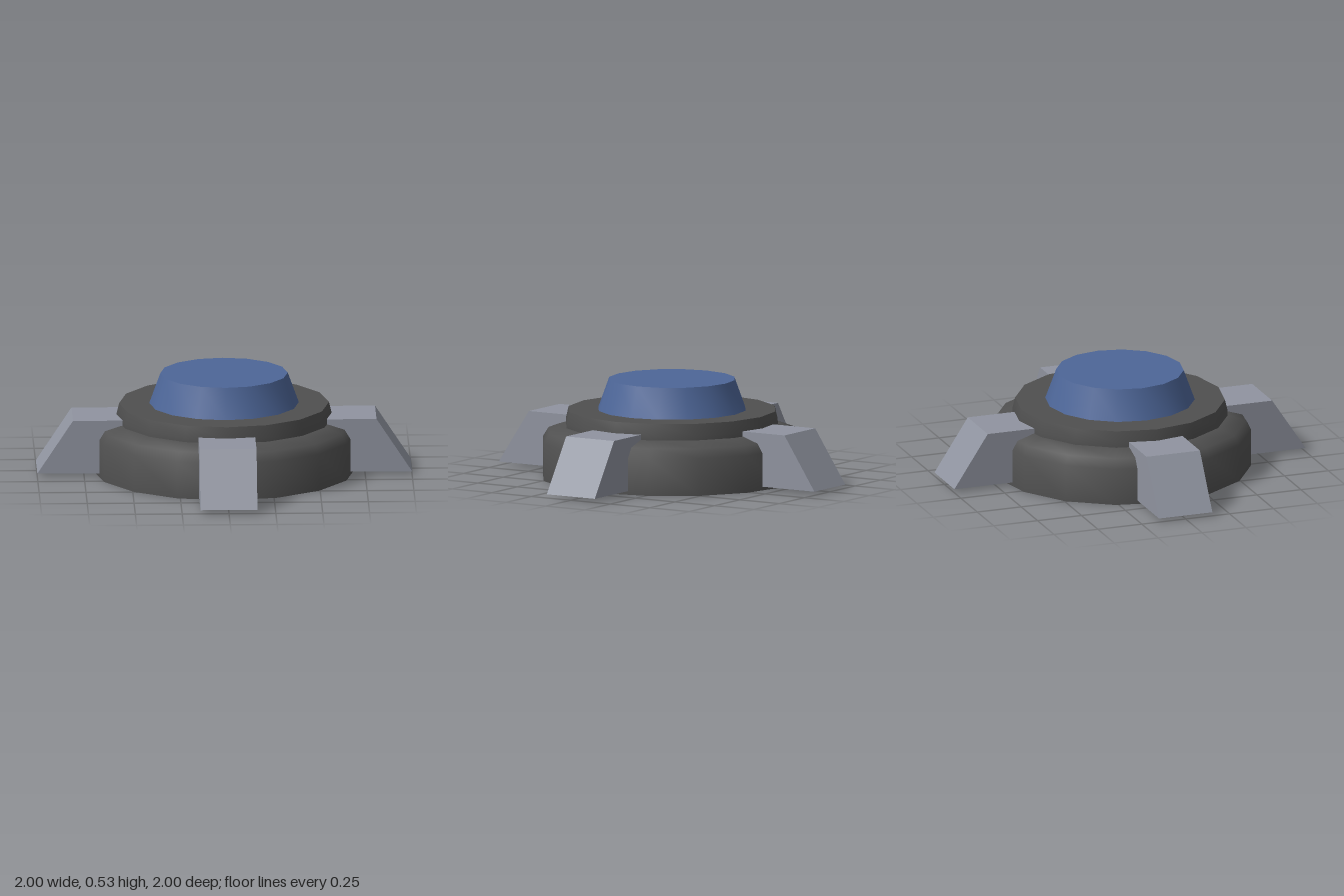
import * as THREE from 'three';
import { toCreasedNormals } from 'three/addons/utils/BufferGeometryUtils.js';

const SIDES = 16;

function material(name, color) {
  const m = new THREE.MeshStandardMaterial({ color });
  m.name = name;
  return m;
}

// Sixteen-sided turned part; profile runs from the bottom centre to the top centre
function turned(name, profile, mat, crease) {
  const points = profile.map(([r, y]) => new THREE.Vector2(r, y));
  const geometry = toCreasedNormals(new THREE.LatheGeometry(points, SIDES), crease);
  const mesh = new THREE.Mesh(geometry, mat);
  mesh.name = name;
  return mesh;
}

export function createModel() {
  const group = new THREE.Group();
  group.name = 'roundDevice';
  const darkGrey = material('dark grey', 0x505050);
  const blue = material('blue', 0x4d6698);
  const steel = material('steel grey', 0x9094a0);

  // Drum with a rounded shoulder
  group.add(turned('body', [
    [0, 0], [0.7, 0], [0.7, 0.2], [0.67, 0.25], [0.58, 0.28], [0, 0.28],
  ], darkGrey, 0.75));

  // Collar tapering slightly towards the top
  group.add(turned('collar', [
    [0, 0.275], [0.575, 0.275], [0.575, 0.305], [0.56, 0.367], [0, 0.367],
  ], darkGrey, 0.5));

  // Raised centre button
  group.add(turned('button', [
    [0, 0.36], [0.4, 0.365], [0.34, 0.53], [0, 0.53],
  ], blue, 0.5));

  // Four sloped feet, starting inside the body
  const side = new THREE.Shape([
    [0.5, 0.02], [1, 0.02], [0.81, 0.308], [0.5, 0.308],
  ].map(([x, y]) => new THREE.Vector2(x, y)));
  const footGeometry = new THREE.ExtrudeGeometry(side, { depth: 0.304, bevelEnabled: false });
  footGeometry.translate(0, 0, -0.152);
  ['leftFoot', 'backFoot', 'rightFoot', 'frontFoot'].forEach((name, i) => {
    const foot = new THREE.Mesh(footGeometry, steel);
    foot.name = name;
    foot.rotation.y = i * Math.PI / 2;
    group.add(foot);
  });

  return group;
}
